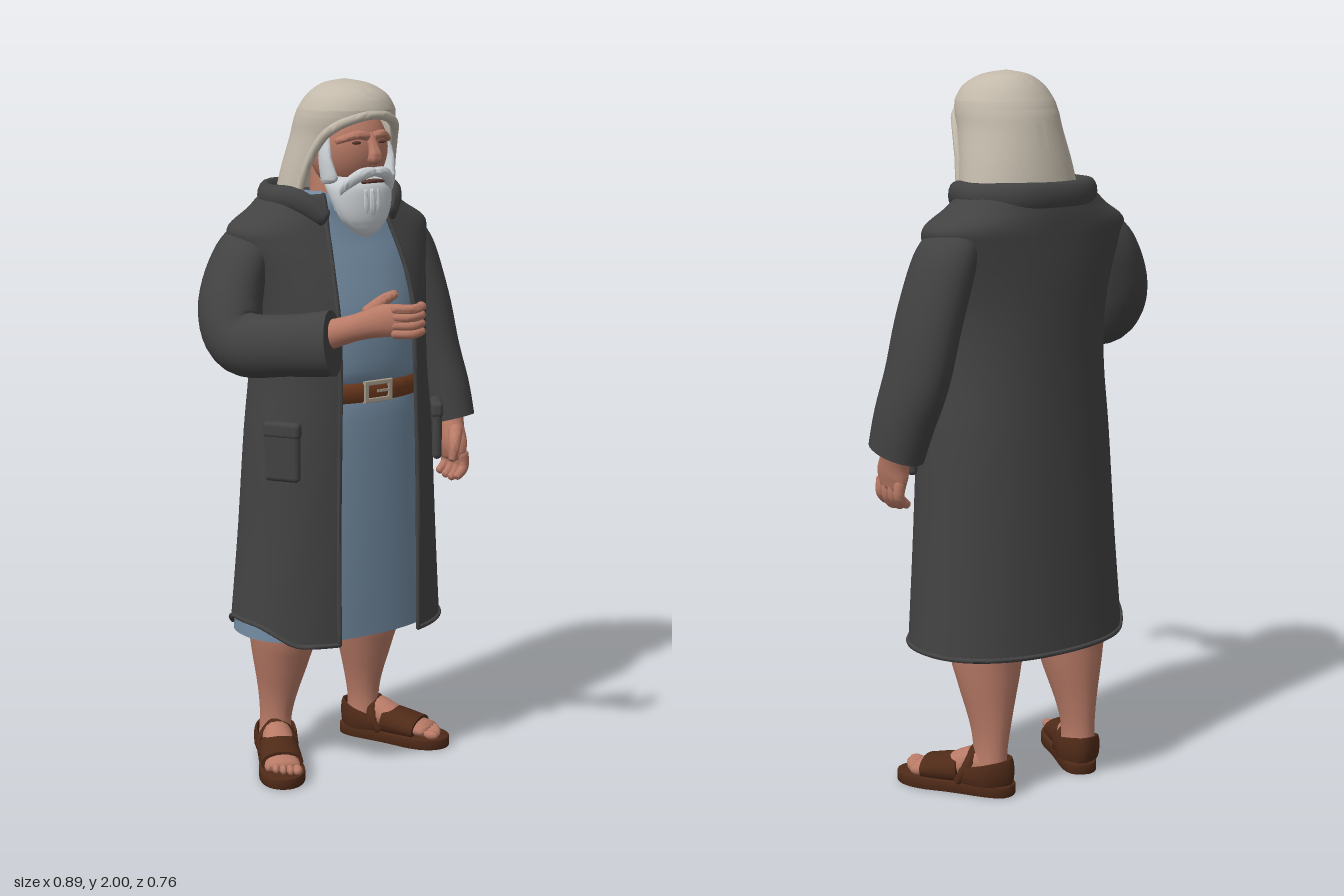
import * as THREE from 'three';
import { toCreasedNormals } from 'three/addons/utils/BufferGeometryUtils.js';
import { RoundedBoxGeometry } from 'three/addons/geometries/RoundedBoxGeometry.js';

const V = (x, y, z) => new THREE.Vector3(x, y, z);
const X = V(1, 0, 0), Y = V(0, 1, 0), Z = V(0, 0, 1);

const mat = (name, color, side = THREE.FrontSide) => {
  const m = new THREE.MeshStandardMaterial({ color, side });
  m.name = name;
  return m;
};

// Smooth interpolation through rows of numbers, t in 0..1
function spline(rows, t) {
  const n = rows.length - 1, f = Math.min(Math.max(t, 0), 1) * n;
  const i = Math.min(Math.floor(f), n - 1), u = f - i;
  const p0 = rows[Math.max(i - 1, 0)], p1 = rows[i], p2 = rows[i + 1], p3 = rows[Math.min(i + 2, n)];
  return p1.map((b, k) => {
    const a = p0[k], c = p2[k], d = p3[k];
    return b + 0.5 * u * (c - a + u * (2 * a - 5 * b + 4 * c - d + u * (3 * (b - c) + d - a)));
  });
}

// Skin a list of rings that all have the same number of points
function skin(rings) {
  const pos = [], idx = [], w = rings[0].length;
  rings.forEach(r => r.forEach(p => pos.push(p.x, p.y, p.z)));
  for (let i = 0; i < rings.length - 1; i++) for (let j = 0; j < w - 1; j++) {
    const a = i * w + j, b = a + 1, c = a + w, d = c + 1;
    idx.push(a, b, c, b, d, c);
  }
  const g = new THREE.BufferGeometry();
  g.setAttribute('position', new THREE.Float32BufferAttribute(pos, 3));
  g.setIndex(idx);
  return toCreasedNormals(g, 0.9);
}

// Elliptical tube through rows [x, y, z, sideRadius, upRadius]; bulge rounds the ends
function tube(rows, ref = Z, bulge = 0.7, seg = 16, sides = 16) {
  const rings = [];
  const ring = (t, off, scale) => {
    const [x, y, z, a, b] = spline(rows, t);
    const q0 = spline(rows, t - 0.01), q1 = spline(rows, t + 0.01);
    const tan = V(q1[0] - q0[0], q1[1] - q0[1], q1[2] - q0[2]).normalize();
    const side = ref.clone().cross(tan).normalize(), up = tan.clone().cross(side);
    const c = V(x, y, z).addScaledVector(tan, off * Math.min(a, b));
    const r = [];
    for (let j = 0; j <= sides; j++) {
      const th = j % sides / sides * Math.PI * 2;
      r.push(c.clone().addScaledVector(side, Math.cos(th) * a * scale).addScaledVector(up, Math.sin(th) * b * scale));
    }
    rings.push(r);
  };
  for (const p of [1.57, 1.05, 0.52]) ring(0, -Math.sin(p) * bulge, Math.cos(p));
  for (let i = 0; i <= seg; i++) ring(i / seg, 0, 1);
  for (const p of [0.52, 1.05, 1.57]) ring(1, Math.sin(p) * bulge, Math.cos(p));
  return skin(rings);
}

// Point on an upright shell of rows [y, halfWidth, backZ, frontZ, halfOpening]
function shellPoint(rows, t, u, n) {
  const [y, rx, zb, zf, gap] = spline(rows, t), e = 2 / n;
  const start = Math.asin(Math.min(Math.max(gap, 0) / rx, 1) ** (1 / e));
  const th = start + u * (2 * Math.PI - 2 * start), s = Math.sin(th), c = Math.cos(th);
  return V(rx * Math.sign(s) * Math.abs(s) ** e, y, (zb + zf) / 2 + (zf - zb) / 2 * Math.sign(c) * Math.abs(c) ** e);
}
function shell(rows, n = 2.2, move = p => p, segs = 40, around = 64) {
  const rings = [];
  for (let i = 0; i <= segs; i++) {
    const r = [];
    for (let j = 0; j <= around; j++) r.push(move(shellPoint(rows, i / segs, j / around, n), j / around));
    rings.push(r);
  }
  return skin(rings);
}

// Full path from a half path that begins on the middle line
const mirrorPath = h => [...h.slice(1).reverse().map(([x, ...r]) => [-x, ...r]), ...h];
const flip = (rows, s) => rows.map(([x, ...r]) => [s * x, ...r]);

export function createModel() {
  const model = new THREE.Group();
  const coatMat = mat('charcoal coat', 0x424242, THREE.DoubleSide);
  const tunicMat = mat('blue tunic', 0x70889e, THREE.DoubleSide), skinMat = mat('skin', 0xb87a66);
  const hoodMat = mat('cream headcloth', 0xc2b9aa, THREE.DoubleSide), hairMat = mat('white hair', 0xcbd0d4);
  const beltMat = mat('belt leather', 0x6e3a1e, THREE.DoubleSide), sandalMat = mat('sandal leather', 0x4f2a18);
  const metalMat = mat('buckle metal', 0xa39b8c), darkMat = mat('dark detail', 0x5e3a32);
  const add = (name, geo, m, parent = model) => {
    const mesh = new THREE.Mesh(geo, m);
    mesh.name = name;
    parent.add(mesh);
    return mesh;
  };

  // Coat, open at the front, with its hem lifted on the right side and a cap over each shoulder
  const coat = [[.42, .328, -.375, .09, .14], [.7, .306, -.362, .09, .14], [1, .285, -.35, .09, .135],
    [1.2, .263, -.345, .088, .13], [1.35, .265, -.345, .08, .13], [1.47, .288, -.345, .042, .125],
    [1.55, .314, -.342, .003, .115], [1.595, .316, -.34, -.02, .108], [1.64, .245, -.335, -.035, .1],
    [1.685, .185, -.32, -.05, .095], [1.675, .14, -.26, -.07, .09]];
  const lift = (p, u) => {
    p.y += 0.055 * Math.exp(-(((u - .79) / .1) ** 4)) * Math.max(0, 1 - (p.y - .42) / .3);
    return p;
  };
  add('coat', shell(coat, 2.2, lift, 44), coatMat);
  const edge = f => Array.from({ length: 25 }, (_, i) => [...f(i / 24).toArray(), .007, .007]);
  add('coatEdgeLeft', tube(edge(t => shellPoint(coat, t * .9, 0, 2.2)), Z, .7, 48, 8), coatMat);
  add('coatEdgeRight', tube(edge(t => shellPoint(coat, t * .9, 1, 2.2)), Z, .7, 48, 8), coatMat);
  add('coatHem', tube(edge(u => lift(shellPoint(coat, 0, u, 2.2), u)), Y, .7, 64, 8), coatMat);
  add('collar', tube(mirrorPath([[0, 1.672, -.318, .022, .04], [.12, 1.674, -.296, .022, .04],
    [.188, 1.674, -.2, .024, .036], [.168, 1.672, -.09, .022, .034], [.115, 1.625, -.03, .014, .026]]), Y, .7, 40), coatMat);

  // Sleeves: right one bent forward, left one hanging
  add('rightSleeve', tube([[-.245, 1.565, -.185, .09, .055], [-.295, 1.5, -.185, .105, .073], [-.348, 1.38, -.155, .105, .085],
    [-.36, 1.295, -.08, .092, .08], [-.305, 1.3, .06, .085, .068], [-.232, 1.315, .175, .09, .064]], X, 0, 30, 28), coatMat);
  add('leftSleeve', tube([[.245, 1.565, -.185, .055, .09], [.285, 1.5, -.19, .073, .105], [.325, 1.35, -.175, .075, .112],
    [.35, 1.2, -.155, .075, .11], [.368, 1.08, -.12, .075, .1], [.378, .985, -.095, .07, .092]], Z, 0, 30, 28), coatMat);

  // Side pockets with flaps
  for (const s of [-1, 1]) {
    const pocket = new THREE.Group();
    pocket.name = s > 0 ? 'leftPocket' : 'rightPocket';
    add('pocketBag', new RoundedBoxGeometry(.105, .17, .028, 4, .014), coatMat, pocket);
    const flap = add('pocketFlap', new RoundedBoxGeometry(.11, .045, .034, 4, .012), coatMat, pocket);
    flap.position.y = .062;
    pocket.position.set(s * .27, .985, -.016);
    pocket.rotation.y = s * .98;
    model.add(pocket);
  }

  // Tunic, belt and buckle
  add('tunic', shell([[.425, .321, -.36, .062, 0], [.7, .292, -.345, .064, 0], [1.06, .252, -.32, .06, 0], [1.14, .24, -.3, .046, 0],
    [1.2, .246, -.32, .066, 0], [1.35, .246, -.33, .058, 0], [1.48, .262, -.33, .012, 0], [1.56, .27, -.325, -.025, 0],
    [1.62, .2, -.31, -.045, 0], [1.665, .13, -.24, -.05, 0], [1.69, .09, -.2, -.08, 0]]), tunicMat);
  add('belt', shell([[1.112, .245, -.305, .055, 0], [1.115, .25, -.31, .065, 0], [1.162, .25, -.31, .065, 0],
    [1.165, .245, -.305, .055, 0]], 2.2, p => p, 6), beltMat);
  const frame = new THREE.Shape([[-.046, -.029], [.046, -.029], [.046, .029], [-.046, .029]].map(p => new THREE.Vector2(...p)));
  frame.holes.push(new THREE.Path([[-.036, -.02], [-.036, .02], [.036, .02], [.036, -.02]].map(p => new THREE.Vector2(...p))));
  const buckle = add('buckle', new THREE.ExtrudeGeometry(frame, { depth: .008, bevelSize: .002, bevelThickness: .002, bevelSegments: 2 }), metalMat);
  buckle.position.set(0, 1.14, .06);
  add('bucklePin', new THREE.BoxGeometry(.04, .007, .006), metalMat).position.set(.015, 1.14, .067);

  // Headcloth with a rolled rim around the face
  add('headcloth', shell([[1.655, .182, -.288, -.02, .167], [1.75, .166, -.272, 0, .15], [1.84, .147, -.252, .03, .125],
    [1.88, .143, -.242, .045, .1], [1.9, .14, -.234, .05, .05], [1.908, .138, -.231, .051, 0], [1.925, .132, -.222, .05, 0],
    [1.96, .107, -.197, .03, 0], [1.988, .06, -.16, -.02, 0], [2, .0005, -.0955, -.0945, 0]], 2), hoodMat);
  add('headclothRim', tube(mirrorPath([[0, 1.908, .044, .014, .014], [.05, 1.9, .036, .014, .014], [.1, 1.875, .002, .014, .013],
    [.126, 1.835, -.036, .013, .012], [.149, 1.75, -.078, .012, .012], [.165, 1.66, -.097, .01, .01]]), Z, .7, 48, 10), hoodMat);

  // Head and face
  const head = add('head', new THREE.SphereGeometry(1, 32, 24), skinMat);
  head.scale.set(.112, .125, .108);
  head.position.set(0, 1.812, -.078);
  add('neck', new THREE.CylinderGeometry(.075, .085, .16, 20), skinMat).position.set(0, 1.68, -.13);
  add('nose', tube([[0, 1.85, .024, .012, .012], [0, 1.82, .04, .014, .014], [0, 1.793, .05, .021, .018], [0, 1.782, .042, .02, .014]]), skinMat);
  add('mouth', tube([[-.032, 1.724, .034, .005, .012], [0, 1.727, .045, .006, .012], [.032, 1.724, .034, .005, .012]]), darkMat);
  for (const s of [-1, 1]) {
    add('brow', tube(flip([[.012, 1.848, .028, .012, .012], [.045, 1.852, .022, .012, .014], [.085, 1.836, -.012, .009, .012]], s)), skinMat);
    const eye = add('eye', new THREE.SphereGeometry(1, 12, 8), darkMat);
    eye.scale.set(.016, .005, .006);
    eye.position.set(s * .042, 1.831, .021);
    add('moustache', tube(flip([[.004, 1.752, .046, .013, .013], [.04, 1.745, .04, .017, .014],
      [.075, 1.715, .014, .014, .012], [.084, 1.69, .004, .005, .005]], s)), hairMat);
    add('sideburn', tube(flip([[.1, 1.84, -.045, .008, .018], [.106, 1.79, -.04, .012, .028], [.098, 1.73, -.03, .018, .035]], s)), hairMat);
  }
  // Beard with raised locks
  add('beard', shell([[1.568, .008, .0, .014, 0], [1.585, .042, -.025, .03, 0], [1.62, .076, -.045, .04, 0],
    [1.67, .096, -.07, .04, 0], [1.715, .102, -.1, .03, 0], [1.74, .085, -.1, -.01, 0]], 2, p => p, 20, 32), hairMat);
  for (let i = -4; i <= 4; i++) {
    const x = i * .02, z = .034 - 9 * x * x;
    add('beardLock', tube([[x, 1.7, z - .002, .009, .008], [x * .95, 1.65, z + .003, .012, .009],
      [x * .6, 1.595 + Math.abs(x) * .3, .026 - 3 * x * x, .004, .004]], Z, .7, 8, 8), hairMat);
  }

  // Right hand, held forward with curled fingers
  add('rightPalm', tube([[-.24, 1.33, .14, .042, .042], [-.19, 1.36, .22, .034, .036], [-.15, 1.385, .295, .03, .044],
    [-.125, 1.388, .335, .02, .042]], Y), skinMat);
  add('rightThumb', tube([[-.165, 1.4, .25, .022, .024], [-.135, 1.435, .272, .017, .017], [-.1, 1.45, .276, .013, .012]], Y), skinMat);
  for (let k = 0; k < 4; k++) {
    const y = 1.42 - k * .022;
    add('rightFinger', tube([[-.14, y, .33, .015, .014], [-.108, y, .36, .014, .013], [-.07, y + .003, .354, .013, .012],
      [-.052 - k * .009, y + .002, .328, .011, .011]], Y, .7, 12, 10), skinMat);
  }
  // Left hand, relaxed at the side
  add('leftPalm', tube([[.378, 1.02, -.09, .038, .045], [.368, .965, -.072, .036, .045], [.362, .92, -.056, .033, .058],
    [.362, .885, -.052, .024, .054]]), skinMat);
  add('leftThumb', tube([[.35, .965, -.025, .022, .022], [.322, .932, .006, .017, .017], [.312, .89, .01, .013, .013]], X), skinMat);
  for (let k = 0; k < 4; k++) {
    const z = -.01 - k * .028, d = Math.abs(k - 1.3) * .007;
    add('leftFinger', tube([[.366, .895, z, .018, .015], [.37, .86, z, .016, .014], [.357, .832 + d, z + .003, .015, .013],
      [.34, .82 + d, z + .004, .012, .011]], Z, .7, 12, 10), skinMat);
  }

  // Legs and sandalled feet
  for (const s of [-1, 1]) {
    add('leg', tube(flip([[.148, .6, -.2, .1, .11], [.15, .42, -.2, .1, .11], [.152, .33, -.21, .085, .095],
      [.156, .21, -.225, .054, .07], [.16, .13, -.23, .042, .058], [.163, .06, -.23, .045, .058]], s), Z, .5, 20, 20), skinMat);
    const foot = new THREE.Group();
    foot.name = s > 0 ? 'leftFoot' : 'rightFoot';
    add('instep', tube([[0, .06, -.045, .04, .035], [0, .085, .03, .043, .045], [0, .062, .12, .05, .032], [0, .048, .21, .05, .02]], Y), skinMat, foot);
    for (let k = 0; k < 5; k++) {
      const toe = add('toe', new THREE.SphereGeometry(1, 12, 8), skinMat, foot);
      toe.scale.set(k ? .011 : .015, .014, .024);
      toe.position.set(s * (-.038 + k * .02), .046, .24 - k * k * .0025);
    }
    // Sole
    const sole = new THREE.Shape();
    sole.moveTo(0, -.078);
    sole.bezierCurveTo(.07, -.078, .04, .03, .06, .14);
    sole.bezierCurveTo(.075, .23, .04, .275, 0, .275);
    sole.bezierCurveTo(-.04, .275, -.075, .23, -.06, .14);
    sole.bezierCurveTo(-.04, .03, -.07, -.078, 0, -.078);
    const soleGeo = new THREE.ExtrudeGeometry(sole, { depth: .026, bevelSize: .003, bevelThickness: .003, bevelSegments: 2, curveSegments: 10 });
    soleGeo.rotateX(Math.PI / 2).translate(0, .03, 0);
    add('sole', toCreasedNormals(soleGeo, .6), sandalMat, foot);
    // Upper strap, instep band and heel counter
    add('upper', tube([[0, .062, .075, .056, .046], [0, .056, .13, .06, .041], [0, .05, .185, .062, .034]], Y, 0, 8, 20), sandalMat, foot);
    add('insideBand', tube([[-.052, .035, .07, .008, .012], [-.05, .08, .045, .008, .014], [0, .128, .035, .008, .016],
      [.05, .08, .045, .008, .014], [.052, .035, .07, .008, .012]], Z, .5, 20, 8), sandalMat, foot);
    add('heelCounter', tube([[-.053, .055, .06, .007, .022], [-.054, .065, -.02, .007, .034], [0, .07, -.072, .008, .04],
      [.054, .065, -.02, .007, .034], [.053, .055, .06, .007, .022]], Y, .5, 24, 10), sandalMat, foot);
    foot.position.set(s * .165, 0, -.225);
    foot.rotation.y = s * .48;
    model.add(foot);
  }
  return model;
}
